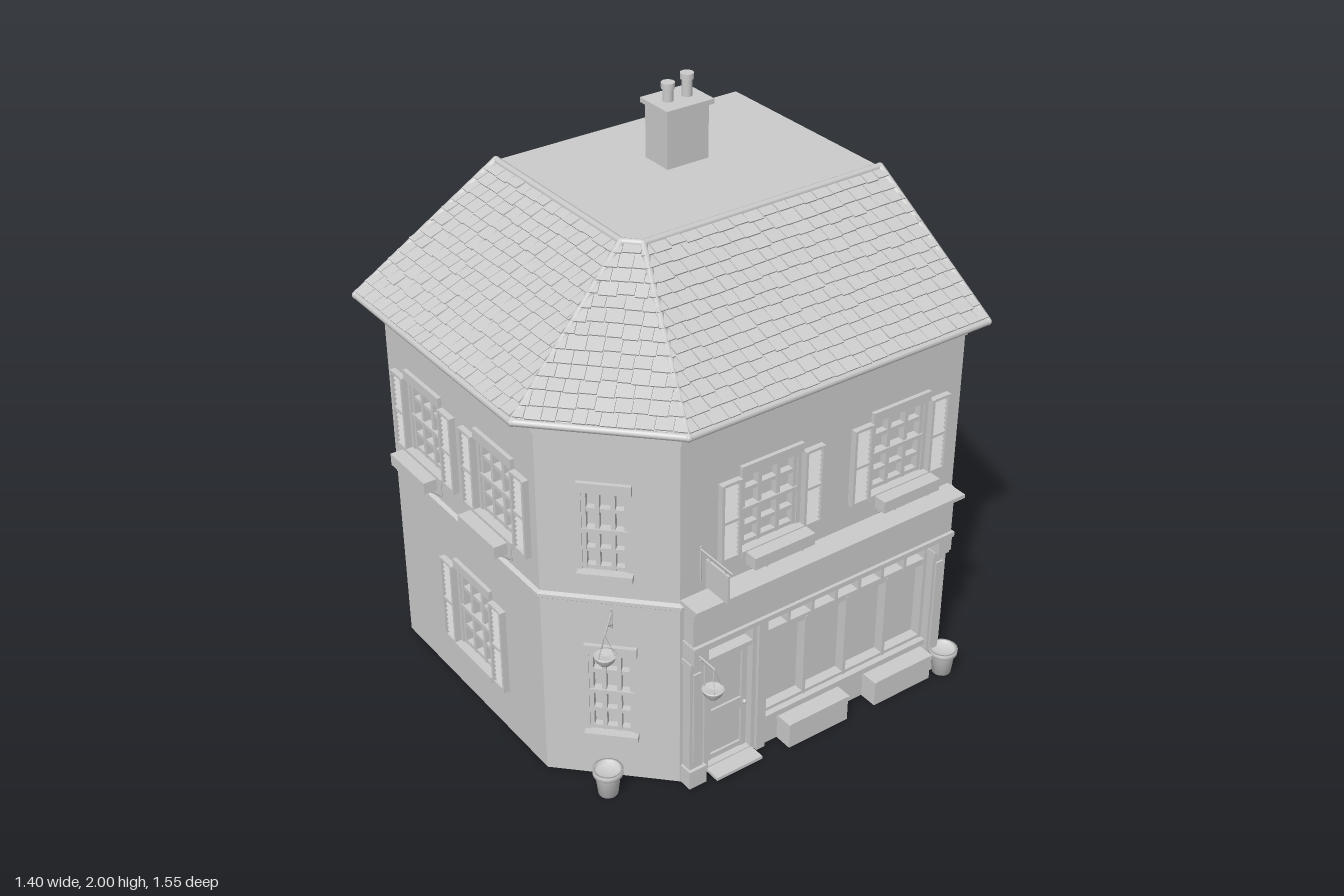
import * as THREE from 'three';
import { mergeGeometries } from 'three/addons/utils/BufferGeometryUtils.js';

const grey = new THREE.MeshStandardMaterial({ color: 0xcccccc });
const V = (x, y, z) => new THREE.Vector3(x, y, z);
const EAVE = [0.09, 1.395], TOP = [-0.45, 1.715];

function add(parent, name, geometry) {
  const m = new THREE.Mesh(geometry, grey);
  m.name = name;
  parent.add(m);
  return m;
}
function box(parent, name, x0, x1, y0, y1, z0, z1) {
  const g = new THREE.BoxGeometry(x1 - x0, y1 - y0, z1 - z0);
  return add(parent, name, g.translate((x0 + x1) / 2, (y0 + y1) / 2, (z0 + z1) / 2));
}
function rod(parent, name, a, b, r, sides = 8) {
  const m = add(parent, name, new THREE.CylinderGeometry(r, r, a.distanceTo(b), sides));
  m.position.copy(a).lerp(b, 0.5);
  m.quaternion.setFromUnitVectors(V(0, 1, 0), b.clone().sub(a).normalize());
  return m;
}

// Footprint with one cut corner; the three street sides move out by d
function ring(d, y) {
  const k = 0.414 * d;
  return [V(-0.69, y, 0.67 + d), V(0.215 + k, y, 0.67 + d), V(0.527 + d, y, 0.36 + k),
    V(0.527 + d, y, -0.76), V(-0.69, y, -0.76)];
}
// Closed solid through footprint rings, profile = [[d, y], ...]
function loft(parent, name, profile) {
  const rings = profile.map(([d, y]) => ring(d, y)), pts = [];
  for (let r = 0; r < rings.length - 1; r++) {
    const a = rings[r], b = rings[r + 1];
    for (let i = 0; i < 5; i++) {
      const j = (i + 1) % 5;
      pts.push(a[i], a[j], b[j], a[i], b[j], b[i]);
    }
  }
  const lo = rings[0], hi = rings[rings.length - 1];
  for (let i = 1; i < 4; i++) pts.push(hi[0], hi[i], hi[i + 1], lo[0], lo[i + 1], lo[i]);
  const g = new THREE.BufferGeometry().setFromPoints(pts);
  g.computeVertexNormals();
  return add(parent, name, g);
}

// Wall panel with openings [x0, x1, y0, y1], outer face on local z = 0
function wallPanel(parent, x0, x1, openings) {
  const rect = (T, a, b, c, d) => new T([[a, c], [b, c], [b, d], [a, d]].map(p => new THREE.Vector2(...p)));
  const s = rect(THREE.Shape, x0, x1, 0, 1.39);
  s.holes = openings.map(o => rect(THREE.Path, ...o));
  add(parent, 'wall', new THREE.ExtrudeGeometry(s, { depth: 0.03, bevelEnabled: false }).translate(0, 0, -0.03));
}
function grid(parent, name, x0, x1, y0, y1, cols, rows, t, z0, z1) {
  for (let i = 0; i <= cols; i++) {
    const x = x0 + (x1 - x0) * i / cols, w = i % cols ? t / 2 : t;
    box(parent, name, Math.max(x0, x - w), Math.min(x1, x + w), y0, y1, z0, z1);
  }
  for (let i = 0; i <= rows; i++) {
    const y = y0 + (y1 - y0) * i / rows, w = i % rows ? t / 2 : t;
    box(parent, name, x0, x1, Math.max(y0, y - w), Math.min(y1, y + w), z0, z1 - 0.002);
  }
}
function shutter(parent, x0, x1, y0, y1) {
  const g = new THREE.Group();
  g.name = 'shutter';
  parent.add(g);
  grid(g, 'shutterFrame', x0, x1, y0, y1, 1, 2, 0.01, 0, 0.022);
  const n = Math.round((y1 - y0) / 0.018);
  for (let i = 0; i < n; i++) {
    const m = add(g, 'slat', new THREE.BoxGeometry(x1 - x0 - 0.01, 0.015, 0.004));
    m.position.set((x0 + x1) / 2, y0 + (i + 0.5) * (y1 - y0) / n, 0.009);
    m.rotation.x = -0.7;
  }
}
function makeWindow(parent, cx, y0, y1, w, { shutters = false, planter = false, cols = 3 }) {
  const g = new THREE.Group(), h = w / 2;
  g.name = 'window';
  g.position.x = cx;
  parent.add(g);
  grid(g, 'windowFrame', -h, h, y0, y1, cols, 4, 0.014, -0.03, -0.005);
  box(g, 'meetingRail', -h, h, (y0 + y1) / 2 - 0.007, (y0 + y1) / 2 + 0.007, -0.03, 0);
  box(g, 'lintel', -h - 0.012, h + 0.012, y1, y1 + 0.035, -0.01, 0.014);
  box(g, 'sill', -h - 0.015, h + 0.015, y0 - 0.022, y0, -0.01, 0.025);
  if (shutters) for (const s of [-1, 1]) {
    const a = s * (h + 0.015), b = s * (h + 0.092);
    shutter(g, Math.min(a, b), Math.max(a, b), y0 - 0.015, y1);
  }
  if (planter) {
    box(g, 'flowerBox', -h - 0.01, h + 0.01, 0.805, 0.848, 0.038, 0.085);
    for (const x of [-0.07, 0.07]) {
      rod(g, 'boxBracket', V(x, 0.803, 0), V(x, 0.803, 0.085), 0.003, 5);
      rod(g, 'boxBracket', V(x, 0.803, 0.07), V(x, 0.745, 0.002), 0.003, 5);
      rod(g, 'boxBracket', V(x, 0.803, 0.002), V(x, 0.74, 0.002), 0.003, 5);
    }
  }
}
function hangingBasket(parent, x, rimY, armY, z) {
  const g = new THREE.Group();
  g.name = 'hangingBasket';
  parent.add(g);
  rod(g, 'arm', V(x, armY, 0), V(x, armY, z + 0.01), 0.004, 6);
  rod(g, 'armStay', V(x, armY - 0.05, 0), V(x, armY, z * 0.65), 0.003, 5);
  rod(g, 'armPlate', V(x, armY - 0.06, 0.002), V(x, armY + 0.015, 0.002), 0.004, 5);
  const bowl = [[0, -0.033], [0.018, -0.03], [0.03, -0.015], [0.034, 0], [0.037, 0.004], [0.03, 0.004], [0, -0.002]];
  add(g, 'basketBowl', new THREE.LatheGeometry(bowl.map(p => new THREE.Vector2(...p)), 16)).position.set(x, rimY, z);
  for (let i = 0; i < 3; i++) {
    const a = i * Math.PI * 2 / 3;
    rod(g, 'chain', V(x + 0.033 * Math.cos(a), rimY, z + 0.033 * Math.sin(a)), V(x, armY, z), 0.0015, 4);
  }
}
function plantPot(parent, x, z) {
  const p = [[0, 0], [0.033, 0], [0.042, 0.078], [0.05, 0.08], [0.051, 0.098], [0.042, 0.098], [0.04, 0.082], [0, 0.082]];
  add(parent, 'plantPot', new THREE.LatheGeometry(p.map(q => new THREE.Vector2(...q)), 18)).position.set(x, 0, z);
}

// Overlapping tiles on one roof slope, trimmed to its hips
function tiles(parent, side, rows, tileW, rand) {
  const lo = ring(...EAVE), hi = ring(...TOP), P = lo[side], geos = [];
  const e = lo[side + 1].clone().sub(P), len = e.length();
  e.normalize();
  const q = hi[side].clone().sub(P), l1 = q.dot(e), r1 = hi[side + 1].clone().sub(lo[side + 1]).dot(e);
  const s = q.clone().addScaledVector(e, -l1), n = e.clone().cross(s).normalize();
  for (let r = 0; r < rows; r++) {
    const t = r / rows;
    let u = l1 * t - rand() * tileW * 0.6;
    while (u < len + r1 * t - 0.004) {
      const w = tileW * (0.8 + rand() * 0.4), u0 = u;
      const t0 = t + (rand() - 0.5) * 0.012, t1 = Math.min(1, t + 1.1 / rows), lift = 0.008 + rand() * 0.005;
      const g = new THREE.BoxGeometry(1, 1, 1).translate(0.5, 0.5, 0.5), p = g.attributes.position;
      for (let i = 0; i < p.count; i++) {
        const tt = Math.max(0, t0 + p.getY(i) * (t1 - t0));
        const uu = THREE.MathUtils.clamp(u0 + p.getX(i) * (w - 0.003), l1 * tt, len + r1 * tt);
        const v = P.clone().addScaledVector(e, uu).addScaledVector(s, tt)
          .addScaledVector(n, p.getZ(i) * 0.006 + lift * (1 - p.getY(i)) - 0.002);
        p.setXYZ(i, v.x, v.y, v.z);
      }
      g.computeVertexNormals();
      geos.push(g);
      u += w;
    }
  }
  add(parent, 'roofTiles', mergeGeometries(geos));
}

function shopFront(parent) {
  const g = new THREE.Group();
  g.name = 'shopFront';
  parent.add(g);
  box(g, 'fascia', -0.345, 0.725, 0.575, 0.715, 0, 0.05);
  box(g, 'fasciaMoulding', -0.35, 0.73, 0.56, 0.578, 0, 0.062);
  box(g, 'fasciaCornice', -0.355, 0.735, 0.712, 0.724, 0, 0.07);
  box(g, 'fasciaCornice', -0.36, 0.74, 0.724, 0.738, 0, 0.085);
  for (const x of [-0.323, 0.692]) {
    box(g, 'pilaster', x - 0.026, x + 0.026, 0, 0.56, 0, 0.038);
    box(g, 'pilasterBase', x - 0.034, x + 0.034, 0, 0.07, 0, 0.05);
    box(g, 'pilasterFace', x - 0.015, x + 0.015, 0.1, 0.46, 0, 0.045);
    box(g, 'pilasterCapital', x - 0.032, x + 0.032, 0.49, 0.51, 0, 0.05);
    box(g, 'corbel', x - 0.028, x + 0.028, 0.51, 0.575, 0, 0.062);
  }
  // Door with two panels and a fanlight
  grid(g, 'doorFrame', -0.272, -0.065, 0, 0.56, 1, 1, 0.016, -0.03, 0.012);
  box(g, 'doorTransom', -0.27, -0.068, 0.445, 0.462, -0.03, 0.01);
  box(g, 'door', -0.256, -0.081, 0.006, 0.445, -0.03, -0.018);
  grid(g, 'doorPanelFrame', -0.25, -0.087, 0.02, 0.205, 1, 1, 0.02, -0.02, -0.008);
  grid(g, 'doorPanelFrame', -0.25, -0.087, 0.205, 0.44, 1, 1, 0.02, -0.02, -0.008);
  add(g, 'doorKnob', new THREE.SphereGeometry(0.008, 10, 8)).position.set(-0.1, 0.21, 0);
  box(g, 'doorStep', -0.26, -0.075, 0, 0.012, 0, 0.07);
  // Display window, transom lights and stall riser
  box(g, 'windowPost', -0.065, -0.03, 0, 0.56, -0.03, 0.025);
  grid(g, 'displayWindow', -0.03, 0.665, 0.13, 0.455, 4, 1, 0.012, -0.03, 0.008);
  grid(g, 'transomLights', -0.03, 0.665, 0.455, 0.56, 7, 1, 0.012, -0.03, 0.008);
  box(g, 'stallRiser', -0.03, 0.665, 0, 0.11, -0.03, 0.012);
  box(g, 'displaySill', -0.03, 0.665, 0.108, 0.13, -0.03, 0.028);
  for (const [a, b] of [[0.03, 0.28], [0.4, 0.65]]) {
    box(g, 'groundPlanter', a, b, 0, 0.085, 0.012, 0.08);
    grid(g, 'planterRim', a - 0.004, b + 0.004, 0.085, 0.1, 1, 1, 0.008, 0.01, 0.085);
  }
}

export function createModel() {
  const model = new THREE.Group();
  model.name = 'cornerShop';
  let seed = 7;
  const rand = () => (seed = (seed * 16807) % 2147483647) / 2147483647;

  loft(model, 'houseCore', [[-0.03, 0], [-0.03, 1.39]]);
  loft(model, 'stringCourse', [[0.008, 0.7], [0.014, 0.705], [0.014, 0.718], [0, 0.724]]);
  loft(model, 'cornice', [[0, 1.3], [0.012, 1.305], [0.012, 1.325], [0.025, 1.33], [0.03, 1.345],
    [0.05, 1.35], [0.055, 1.365], [0.08, 1.372], [0.09, 1.385], EAVE]);
  loft(model, 'roof', [EAVE, TOP]);

  // Tiles, then rounded caps along eaves, ridges, rakes and hips
  tiles(model, 0, 13, 0.052, rand);
  tiles(model, 1, 13, 0.05, rand);
  tiles(model, 2, 13, 0.052, rand);
  const lo = ring(0.092, 1.388), hi = ring(-0.45, 1.715);
  for (let i = 0; i < 4; i++) {
    rod(model, 'roofCap', lo[i], hi[i], 0.013);
    for (const p of [lo[i], hi[i]]) add(model, 'capJoint', new THREE.SphereGeometry(0.0135, 8, 6)).position.copy(p);
    if (i < 3) {
      rod(model, 'gutter', lo[i], lo[i + 1], 0.012);
      rod(model, 'ridgeCap', hi[i], hi[i + 1], 0.013);
    }
  }

  // Chimney
  box(model, 'chimney', -0.425, -0.302, 1.7, 1.905, -0.352, -0.188);
  box(model, 'chimneyCap', -0.44, -0.29, 1.905, 1.922, -0.365, -0.178);
  for (const [z, y] of [[-0.235, 1.985], [-0.31, 2]]) {
    rod(model, 'chimneyPot', V(-0.365, 1.92, z), V(-0.365, y, z), 0.018, 16);
    rod(model, 'chimneyPotRim', V(-0.365, y - 0.02, z), V(-0.365, y, z), 0.023, 16);
  }

  // Street walls, each built facing +z and turned into place
  const facade = (name, x, z, turn) => {
    const g = new THREE.Group();
    g.name = name;
    g.position.set(x, 0, z);
    g.rotation.y = turn;
    model.add(g);
    return g;
  };
  const hole = (c, y0, y1, w) => [c - w / 2, c + w / 2, y0, y1];
  const upper = { shutters: true, planter: true };

  const front = facade('frontWall', 0, 0.67, 0);
  wallPanel(front, -0.69, 0.215, [hole(-0.45, 0.84, 1.11, 0.2), hole(-0.015, 0.84, 1.11, 0.2), hole(-0.2, 0.185, 0.5, 0.205)]);
  for (const x of [-0.45, -0.015]) makeWindow(front, x, 0.84, 1.11, 0.2, upper);
  makeWindow(front, -0.2, 0.185, 0.5, 0.205, { shutters: true });

  const corner = facade('cornerWall', 0.371, 0.515, Math.PI / 4);
  wallPanel(corner, -0.2205, 0.2205, [hole(-0.01, 0.82, 1.11, 0.145), hole(0, 0.185, 0.5, 0.145)]);
  makeWindow(corner, -0.01, 0.82, 1.11, 0.145, {});
  makeWindow(corner, 0, 0.185, 0.5, 0.145, {});
  hangingBasket(corner, 0.005, 0.582, 0.665, 0.112);

  const side = facade('shopWall', 0.527, 0, Math.PI / 2);
  wallPanel(side, -0.36, 0.76, [hole(-0.02, 0.84, 1.11, 0.215), hole(0.5, 0.84, 1.11, 0.215), [-0.272, 0.665, 0.003, 0.56]]);
  for (const x of [-0.02, 0.5]) makeWindow(side, x, 0.84, 1.11, 0.215, upper);
  shopFront(side);
  hangingBasket(side, -0.33, 0.462, 0.545, 0.133);

  // Hanging sign board
  rod(side, 'signArm', V(-0.285, 0.9, 0), V(-0.285, 0.9, 0.163), 0.004, 6);
  rod(side, 'signStay', V(-0.285, 0.78, 0.002), V(-0.285, 0.91, 0.002), 0.004, 6);
  box(side, 'signBoard', -0.289, -0.281, 0.78, 0.882, 0.033, 0.145);
  for (const z of [0.05, 0.128]) rod(side, 'signHook', V(-0.285, 0.88, z), V(-0.285, 0.9, z), 0.002, 5);

  plantPot(model, 0.43, 0.575);
  plantPot(model, 0.6, -0.715);
  return model;
}
